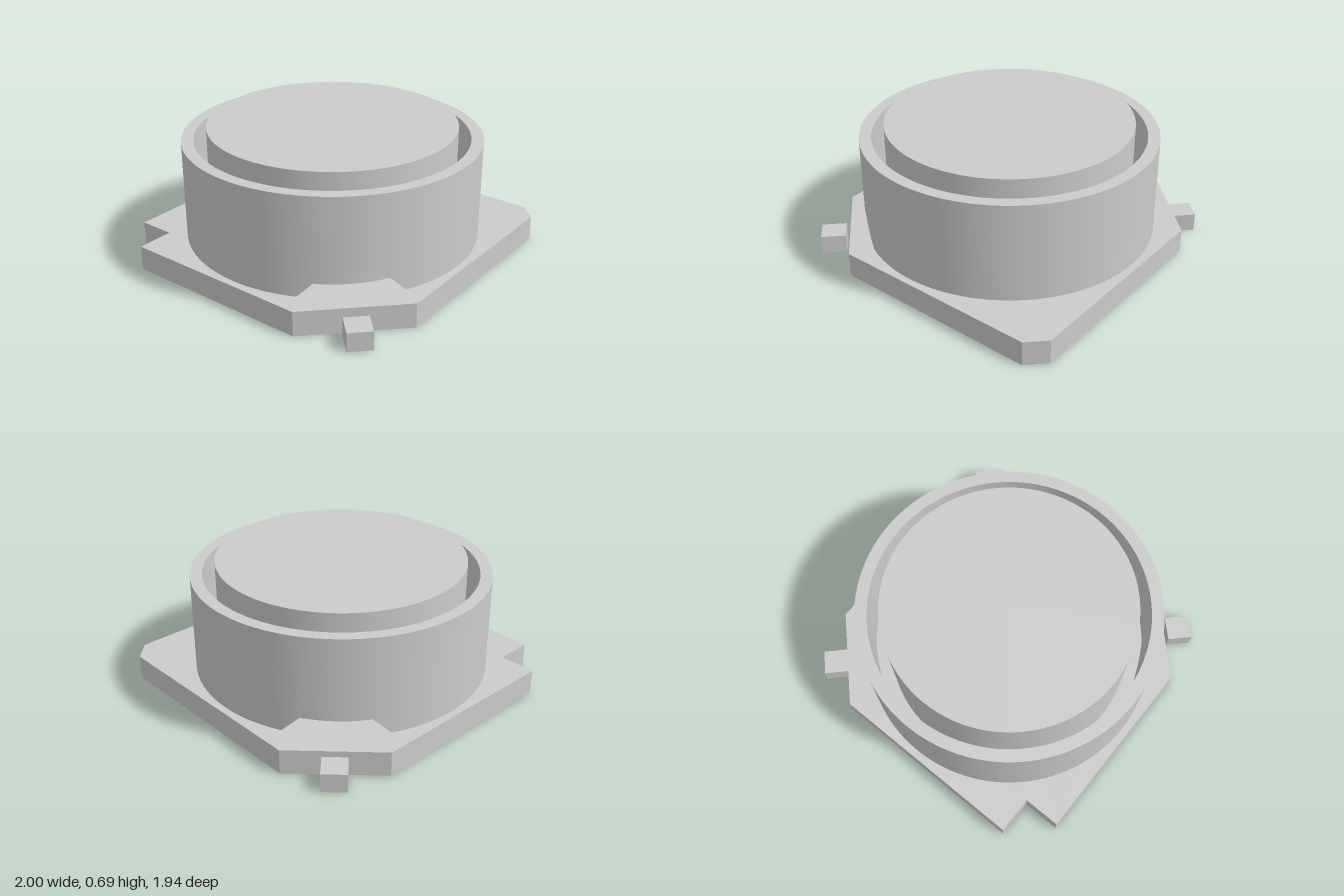
import * as THREE from 'three';
import { toCreasedNormals } from 'three/addons/utils/BufferGeometryUtils.js';

const material = new THREE.MeshStandardMaterial({ color: 0xcccccc });
const CENTRE_X = -0.035;
const BASE_TOP = 0.125;
const WALL_TOP = 0.625;
const OUTER = 0.74, INNER = 0.68;
const NOTCH = 0.25; // half width of the notch at the base

function addMesh(group, name, geometry, x = 0, y = 0, z = 0) {
  const mesh = new THREE.Mesh(geometry, material);
  mesh.name = name;
  mesh.position.set(x, y, z);
  group.add(mesh);
}

// Plate with clipped corners and a V-shaped cut on one corner
function basePlate() {
  const outline = [
    [-1, -0.133], [-0.283, -0.85], [0.212, -0.85], [1, -0.062], [1, 0.062],
    [0.24, 0.82], [-0.312, 0.82], [-1, 0.133], [-0.867, 0],
  ].map(([x, z]) => new THREE.Vector2(x, z));
  const geometry = new THREE.ExtrudeGeometry(new THREE.Shape(outline), { depth: BASE_TOP, bevelEnabled: false });
  return geometry.rotateX(Math.PI / 2).translate(0, BASE_TOP, 0);
}

// Ring wall with a trapezoidal notch through its front and back
function ringWall() {
  const columns = []; // each: angle at a given radius, height of lower edge
  const notchSteps = 24, arcSteps = 48;
  for (let i = 0; i <= notchSteps; i++) {
    const u = NOTCH * (2 * i / notchSteps - 1);
    columns.push({
      angle: (r) => Math.asin(u / r),
      bottom: BASE_TOP + Math.min(0.125, NOTCH - Math.abs(u)),
    });
  }
  for (let i = 1; i < arcSteps; i++) {
    columns.push({
      angle: (r) => THREE.MathUtils.lerp(Math.asin(NOTCH / r), Math.PI - Math.asin(NOTCH / r), i / arcSteps),
      bottom: BASE_TOP,
    });
  }

  const positions = [], indices = [];
  for (const turn of [0, Math.PI]) {
    for (const { angle, bottom } of columns) {
      const section = [[OUTER, WALL_TOP], [OUTER, bottom], [INNER, bottom], [INNER, WALL_TOP]];
      for (const [r, y] of section) {
        const a = angle(r) + turn;
        positions.push(r * Math.sin(a), y, r * Math.cos(a));
      }
    }
  }
  const count = columns.length * 2;
  for (let i = 0; i < count; i++) {
    const a = i * 4, b = ((i + 1) % count) * 4;
    for (let k = 0; k < 4; k++) {
      const n = (k + 1) % 4;
      indices.push(a + k, a + n, b + n, a + k, b + n, b + k);
    }
  }
  const geometry = new THREE.BufferGeometry();
  geometry.setAttribute('position', new THREE.Float32BufferAttribute(positions, 3));
  geometry.setIndex(indices);
  return toCreasedNormals(geometry, 0.5);
}

export function createModel() {
  const group = new THREE.Group();
  group.name = 'shieldedInductor';

  addMesh(group, 'basePlate', basePlate());
  addMesh(group, 'ringWall', ringWall(), CENTRE_X);

  // Round core standing inside the ring with a narrow gap
  const coreHeight = 0.685 - BASE_TOP;
  addMesh(group, 'core', new THREE.CylinderGeometry(0.617, 0.617, coreHeight, 96), CENTRE_X, BASE_TOP + coreHeight / 2);

  // Terminals at the front and back
  for (const [name, z] of [['frontTerminal', 0.907], ['backTerminal', -0.913]]) {
    addMesh(group, name, new THREE.BoxGeometry(0.12, 0.095, 0.125), CENTRE_X, 0.0475, z);
  }
  return group;
}
